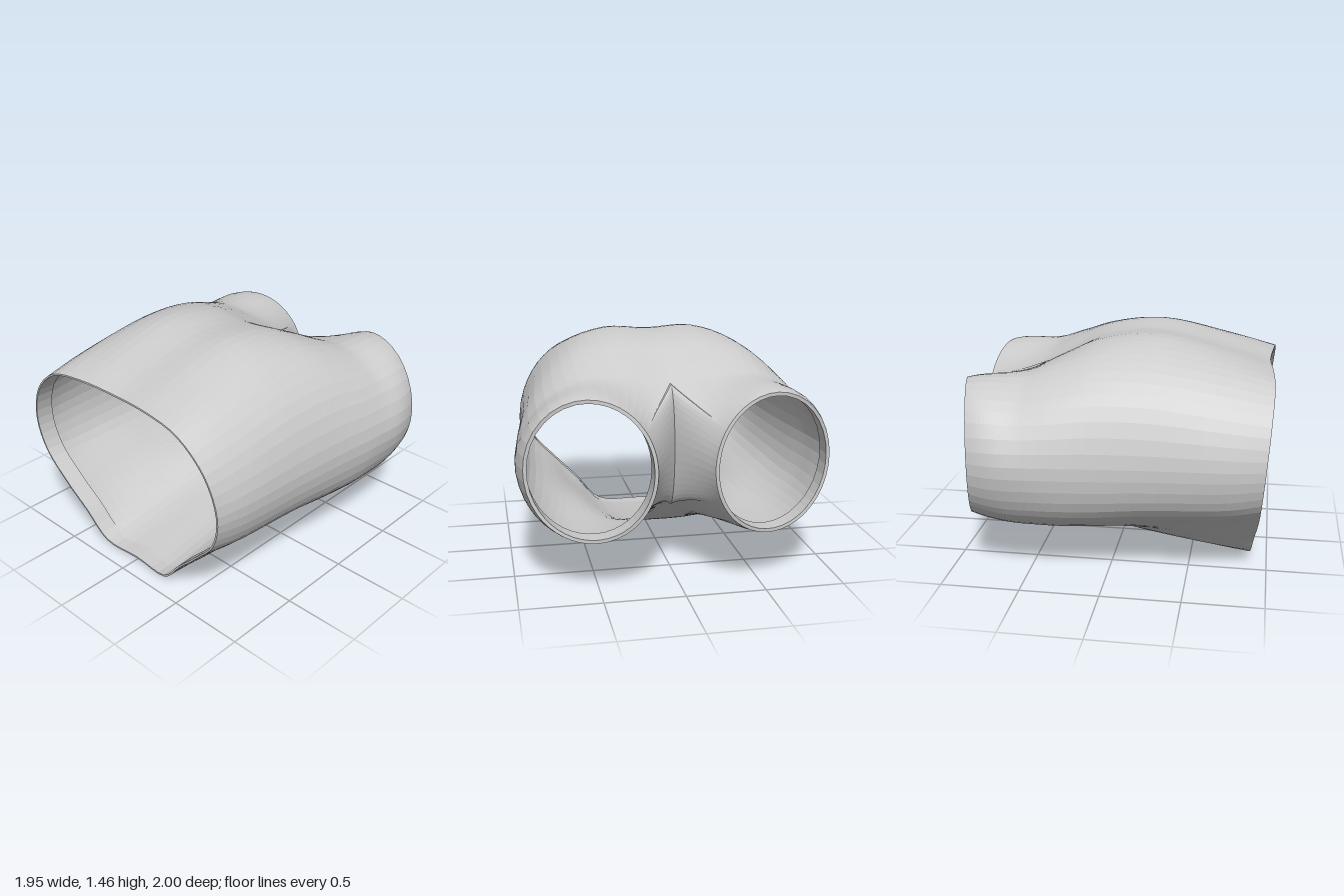
import * as THREE from 'three';

const V = (x, y, z) => new THREE.Vector3(x, y, z);
const material = new THREE.MeshStandardMaterial({ color: 0xcccccc, flatShading: true, side: THREE.DoubleSide });

// Half outlines [x, y] from top centre round the outside to bottom centre, waist first
const outlines = [
  { z: null, p: [[0, 1.275], [0.3, 1.28], [0.56, 1.235], [0.755, 1.055], [0.835, 0.8], [0.785, 0.57], [0.62, 0.38], [0.45, 0.21], [0.28, 0.03], [0, 0.015]] },
  { z: 0.75, p: [[0, 1.345], [0.3, 1.355], [0.57, 1.29], [0.775, 1.09], [0.87, 0.8], [0.81, 0.54], [0.63, 0.36], [0.47, 0.2], [0.28, 0.05], [0, 0.03]] },
  { z: 0.25, p: [[0, 1.455], [0.3, 1.468], [0.57, 1.37], [0.79, 1.15], [0.9, 0.8], [0.84, 0.52], [0.64, 0.34], [0.47, 0.24], [0.27, 0.13], [0, 0.11]] },
  { z: -0.1, p: [[0, 1.415], [0.3, 1.43], [0.58, 1.36], [0.81, 1.15], [0.93, 0.8], [0.87, 0.5], [0.68, 0.325], [0.46, 0.27], [0.24, 0.2], [0, 0.185]] },
  { z: -0.32, p: [[0, 1.31], [0.3, 1.345], [0.58, 1.31], [0.83, 1.12], [0.955, 0.8], [0.895, 0.5], [0.72, 0.33], [0.47, 0.28], [0.24, 0.28], [0, 0.29]] },
  { z: -0.5, p: [[0, 1.215], [0.28, 1.255], [0.57, 1.26], [0.83, 1.1], [0.97, 0.8], [0.9, 0.5], [0.74, 0.34], [0.5, 0.29], [0.24, 0.33], [0, 0.43]] },
];
const HALF = 36; // samples from top centre to bottom centre

const waistZ = (x, y) => 0.87 + 0.075 * y + 0.04 * Math.min(1, x / 0.6);

// Skin a stack of closed rings
function loft(name, rings) {
  const n = rings[0].length, index = [];
  for (let i = 0; i < rings.length - 1; i++) {
    for (let j = 0; j < n; j++) {
      const a = i * n + j, b = i * n + (j + 1) % n;
      index.push(a, b, a + n, b, b + n, a + n);
    }
  }
  const geometry = new THREE.BufferGeometry().setFromPoints(rings.flat());
  geometry.setIndex(index);
  geometry.computeVertexNormals();
  const mesh = new THREE.Mesh(geometry, material);
  mesh.name = name;
  return mesh;
}

// Shrink a ring about a centre and slide it along z
const inset = (ring, c, amount, dz) => ring.map((p) => {
  const d = V(c.x - p.x, c.y - p.y, 0).setLength(amount);
  return V(p.x + d.x, p.y + d.y, p.z + dz);
});

// Rings of the body, smoothly blended from the waist to the crotch
function bodyRings() {
  const rails = outlines[0].p.map((_, k) => new THREE.CatmullRomCurve3(
    outlines.map(({ z, p }) => V(p[k][0], p[k][1], z ?? waistZ(...p[k])))));
  const rings = [];
  const rows = 30;
  for (let i = 0; i <= rows; i++) {
    const half = rails.map((r) => r.getPoint(i / rows));
    const mirrored = half.slice(1, -1).reverse().map((p) => V(-p.x, p.y, p.z));
    const curve = new THREE.CatmullRomCurve3([...half, ...mirrored], true);
    rings.push(Array.from({ length: HALF * 2 }, (_, j) => curve.getPoint(j / (HALF * 2))));
  }
  return rings;
}

// Rings of the +x leg, from the body's half outline plus crotch seam to the hem
function legRings(before, bodyEnd) {
  // each start point keeps the direction in which the body arrives
  const start = bodyEnd.slice(0, HALF + 1).map((p, j) => ({ p, dir: p.clone().sub(before[j]).normalize() }));
  const top = start[0], bottom = start[HALF], seam = 20;
  for (let k = 1; k < seam; k++) {
    const a = Math.PI * k / seam, t = (1 - Math.cos(a)) / 2;
    const p = bottom.p.clone().lerp(top.p, t);
    p.z -= 0.15 * Math.sin(a);
    start.push({ p, dir: bottom.dir.clone().lerp(top.dir, t) });
  }
  const c = V(0.555, 0.785, 0), rx = 0.385, ry = 0.435;
  const rows = 14;
  const rings = Array.from({ length: rows + 1 }, () => []);
  for (const { p, dir } of start) {
    const a = Math.atan2((p.y - c.y) / ry, (p.x - c.x) / rx);
    const cos = Math.cos(a), sin = Math.sin(a);
    const x = c.x + rx * cos;
    const end = V(x, c.y + ry * sin, -1 + (x - 0.17) * 0.24);
    // cubic that leaves the seam slightly sideways and the rest straight on
    const c1 = p.clone().addScaledVector(dir, 0.12);
    c1.x += 0.06 * Math.exp(-p.x / 0.12);
    const c2 = end.clone().add(V(0.04 * cos, 0.04 * sin, 0.13));
    const path = new THREE.CubicBezierCurve3(p, c1, c2, end);
    rings.forEach((ring, i) => ring.push(path.getPoint(i / rows)));
  }
  return rings;
}

export function createModel() {
  const group = new THREE.Group();
  group.name = 'shorts';

  const body = bodyRings();
  const waist = body[0];
  group.add(loft('body', body));

  // Folded cloth inside the waist opening
  const mid = V(0, 0.72, 0);
  group.add(loft('waistband', [inset(waist, mid, 0.015, -0.12), inset(waist, mid, 0.012, 0), waist]));

  // Legs with folded hems
  const leg = legRings(...body.slice(-2));
  const hem = leg[leg.length - 1];
  const centre = V(0.555, 0.785, 0);
  const fold = [hem, inset(hem, centre, 0.022, 0), inset(hem, centre, 0.02, 0.12)];
  const mirror = (rings) => rings.map((r) => r.map((p) => V(-p.x, p.y, p.z)).reverse());
  group.add(loft('leftLeg', leg), loft('leftHem', fold));
  group.add(loft('rightLeg', mirror(leg)), loft('rightHem', mirror(fold)));
  return group;
}
